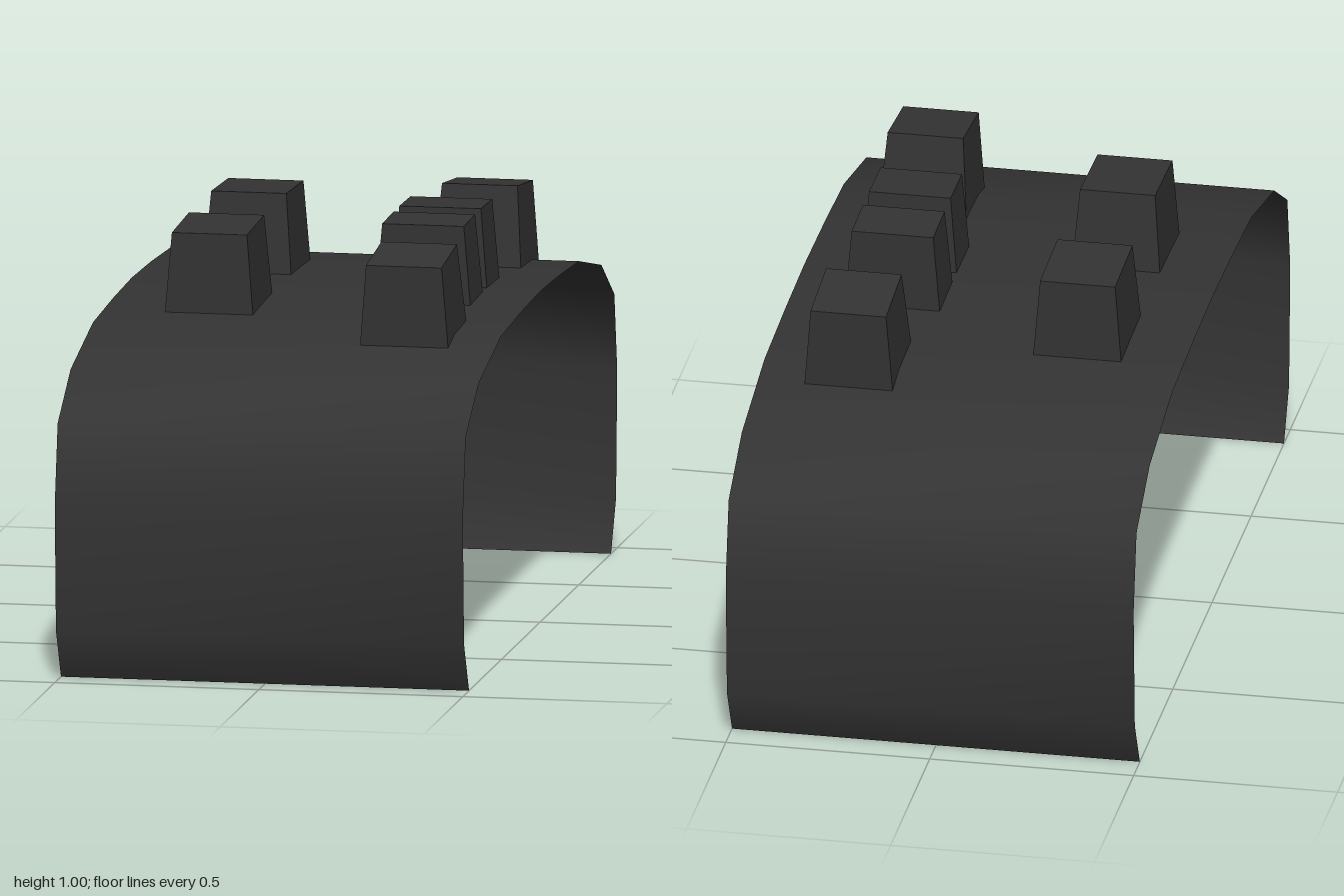
import * as THREE from 'three';

// Half of the arch cross-section as [z, y], from the front rim to the crown
const HALF = [[0.92, 0], [0.985, 0.125], [1, 0.435], [0.963, 0.628], [0.795, 0.73], [0.505, 0.792], [0.25, 0.804], [0, 0.81]];

// Thin curved sheet: a plane whose rows follow the cross-section
function archSheet(material) {
  const profile = [...HALF.map(([z, y]) => [-z, y]), ...HALF.slice(0, -1).reverse()];
  const geometry = new THREE.PlaneGeometry(1, 1, 1, profile.length - 1);
  const pos = geometry.attributes.position;
  for (let i = 0; i < pos.count; i++) {
    const [z, y] = profile[Math.floor(i / 2)];
    pos.setY(i, y);
    pos.setZ(i, z);
  }
  geometry.computeVertexNormals();
  const mesh = new THREE.Mesh(geometry, material);
  mesh.name = 'archSheet';
  return mesh;
}

// Block standing on its base, narrowing to the given top size
function taperedBlock(baseW, baseD, topW, topD, height) {
  const geometry = new THREE.BoxGeometry(baseW, height, baseD).translate(0, height / 2, 0);
  const pos = geometry.attributes.position;
  for (let i = 0; i < pos.count; i++) {
    if (pos.getY(i) < height / 2) continue;
    pos.setX(i, Math.sign(pos.getX(i)) * topW / 2);
    pos.setZ(i, Math.sign(pos.getZ(i)) * topD / 2);
  }
  geometry.computeVertexNormals();
  return geometry;
}

export function createModel() {
  const group = new THREE.Group();
  group.name = 'studdedArch';
  const sheetMat = new THREE.MeshStandardMaterial({ color: 0x333333, side: THREE.DoubleSide });
  sheetMat.name = 'charcoal';
  group.add(archSheet(sheetMat));

  // Blocks in front/back pairs, each leaning with the slope of the sheet
  const blocks = [
    { name: 'outerBlock', x: 0.278, y: 0.779, z: 0.47, tilt: 0.11, size: [0.217, 0.237, 0.185, 0.2, 0.204] },
    { name: 'sideBlock', x: -0.241, y: 0.794, z: 0.247, tilt: 0.04, size: [0.217, 0.252, 0.184, 0.222, 0.203] },
    { name: 'innerBlock', x: 0.248, y: 0.797, z: 0.107, tilt: 0.02, size: [0.235, 0.163, 0.2, 0.146, 0.202] },
  ];
  for (const b of blocks) {
    const geometry = taperedBlock(...b.size);
    for (const side of [1, -1]) {
      const mesh = new THREE.Mesh(geometry, sheetMat);
      mesh.name = b.name + (side > 0 ? 'Front' : 'Back');
      mesh.position.set(b.x, b.y, side * b.z);
      mesh.rotation.x = side * b.tilt;
      group.add(mesh);
    }
  }
  return group;
}
